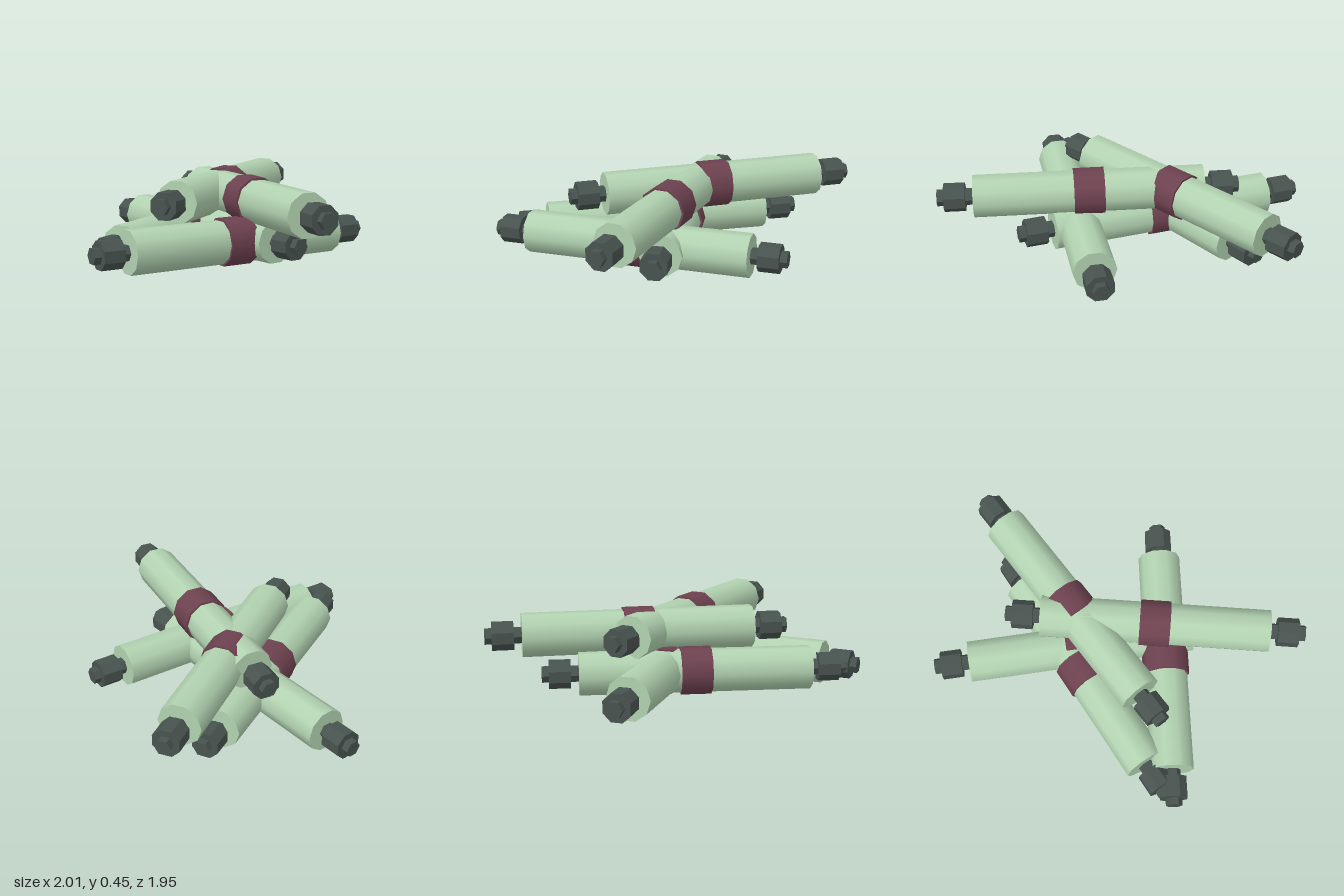
import * as THREE from 'three';

const shellGreen = new THREE.MeshStandardMaterial({ color: 0xb2d3b1 });
const bandMaroon = new THREE.MeshStandardMaterial({ color: 0x6e4250 });
const fittingSlate = new THREE.MeshStandardMaterial({ color: 0x48534f });

const LENGTH = 1.245;

// Prism lying along x; faceted ones get one normal per face
function prism(name, radius, length, sides, x, material, faceted = false) {
  let geo = new THREE.CylinderGeometry(radius, radius, length, sides, 1, false,
    sides === 8 ? Math.PI / 8 : 0);
  geo.rotateZ(Math.PI / 2);
  if (faceted) {
    geo = geo.toNonIndexed();
    geo.computeVertexNormals();
  }
  const mesh = new THREE.Mesh(geo, material);
  mesh.name = name;
  mesh.position.x = x;
  return mesh;
}

// One capped tube with a middle band and a bolt fitting at each end
function makeTube() {
  const tube = new THREE.Group();
  tube.add(prism('tubeBody', 0.1175, LENGTH, 10, 0, shellGreen));
  tube.add(prism('middleBand', 0.129, 0.165, 10, 0, bandMaroon));
  for (const side of [-1, 1]) {
    const end = side * LENGTH / 2;
    tube.add(prism('endRod', 0.045, 0.195, 6, end + side * 0.0975, fittingSlate, true));
    tube.add(prism('endNut', 0.078, 0.115, 8, end + side * 0.1, fittingSlate, true));
  }
  return tube;
}

export function createModel() {
  const model = new THREE.Group();
  model.name = 'tubePile';

  // Centre x, y, z and axis direction x, z of every tube
  const low = 0.124, high = 0.326;
  const layout = [
    ['lowerTubeFront', -0.23, low, 0.225, 1.16, 0.45],
    ['lowerTubeBack', -0.11, low, -0.216, 1.22, -0.2],
    ['lowerTubeCross', 0.037, low, -0.175, 0.26, -0.965],
    ['upperTubeLong', -0.072, high, 0.225, 0.585, -1.11],
    ['upperTubeSide', 0.2, high, -0.157, 1.195, -0.285],
  ];
  for (const [name, x, y, z, dx, dz] of layout) {
    const tube = makeTube();
    tube.name = name;
    tube.position.set(x, y, z);
    tube.rotation.y = Math.atan2(-dz, dx);
    model.add(tube);
  }
  return model;
}
